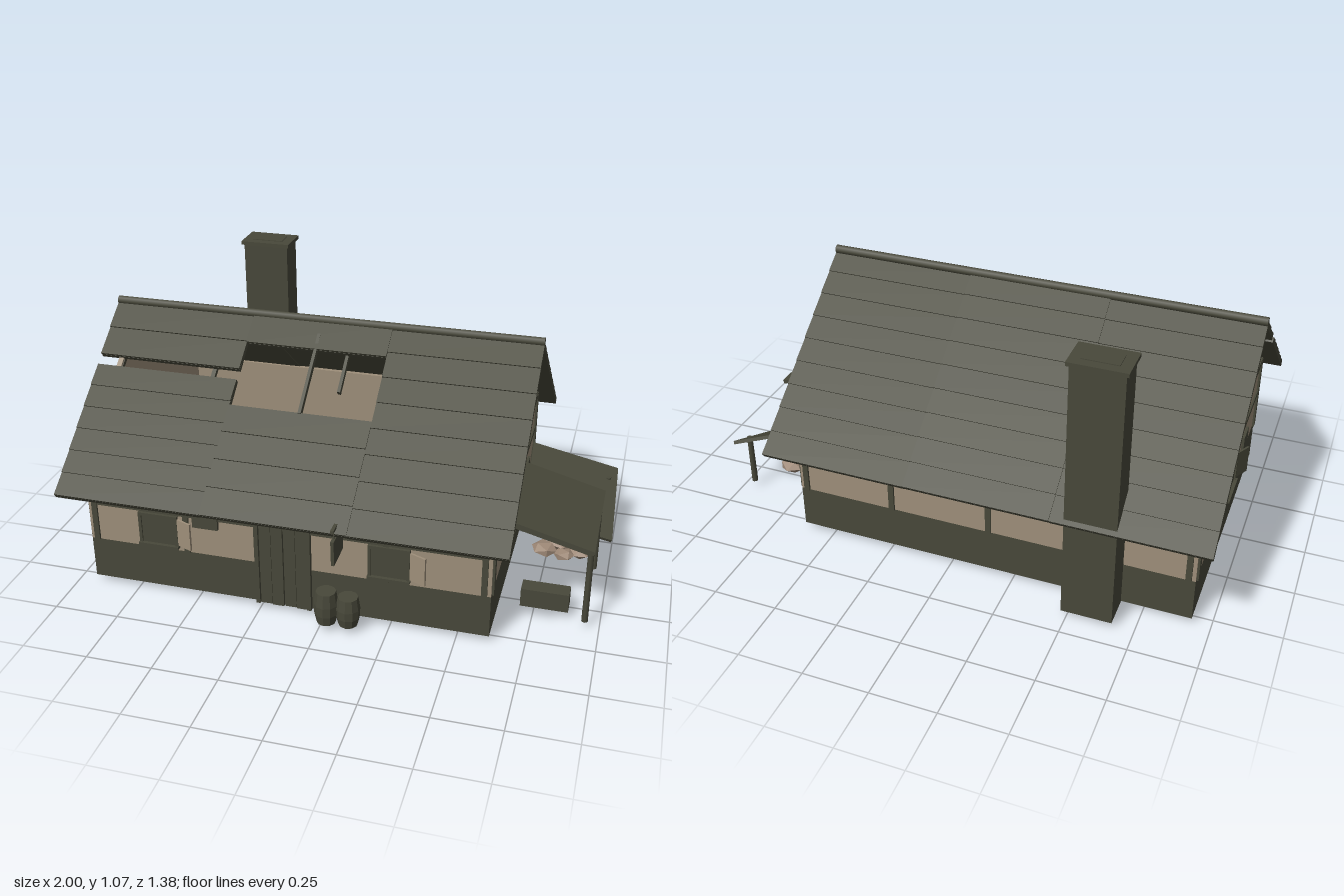
import * as THREE from 'three';

const mat = (name, color) => Object.assign(new THREE.MeshStandardMaterial({ color }), { name });

export function createModel() {
  const root = new THREE.Group();
  root.name = 'ruinedCottage';
  const timber = mat('dark olive timber', 0x48483a);
  const plaster = mat('tan plaster', 0x9e8f7a);
  const stone = mat('rubble stone', 0x9c8775);

  const add = (parent, name, geo, m, x = 0, y = 0, z = 0) => {
    const mesh = new THREE.Mesh(geo, m);
    mesh.name = name;
    mesh.position.set(x, y, z);
    parent.add(mesh);
    return mesh;
  };
  // Box given by its minimum and maximum corners
  const box = (parent, name, m, x0, x1, y0, y1, z0, z1) =>
    add(parent, name, new THREE.BoxGeometry(x1 - x0, y1 - y0, z1 - z0), m,
      (x0 + x1) / 2, (y0 + y1) / 2, (z0 + z1) / 2);
  const group = (name, x = 0, y = 0, z = 0, ry = 0, parent = root) => {
    const g = new THREE.Group();
    g.name = name;
    g.position.set(x, y, z);
    g.rotation.y = ry;
    parent.add(g);
    return g;
  };
  // Straight square beam between two points
  const beam = (parent, name, a, b, t, m = timber) => {
    const A = new THREE.Vector3(...a), B = new THREE.Vector3(...b);
    const mesh = add(parent, name, new THREE.BoxGeometry(t, t, A.distanceTo(B)), m);
    mesh.position.copy(A).add(B).multiplyScalar(0.5);
    mesh.lookAt(B);
    return mesh;
  };

  // Foundation and plaster walls
  const X0 = -0.93, X1 = 0.62, Z = 0.545;
  box(root, 'foundation', timber, X0, X1, 0.03, 0.2, -Z, Z);
  for (const s of [-1, 1]) {
    const zc = s * (Z - 0.01);
    box(root, 'longWall', plaster, X0, X1, 0.2, 0.515, zc - 0.01, zc + 0.01);
  }
  const gable = new THREE.Shape();
  gable.moveTo(-Z, 0.2).lineTo(Z, 0.2).lineTo(Z, 0.518).lineTo(0, 0.948).lineTo(-Z, 0.518);
  for (const x of [X0, X1 - 0.02]) {
    const g = new THREE.ExtrudeGeometry(gable, { depth: 0.02, bevelEnabled: false });
    g.rotateY(Math.PI / 2);
    add(root, 'gableWall', g, plaster, x);
  }

  // Timber framing
  const frame = group('timberFrame');
  for (const x of [X0, X1]) {
    for (const z of [-0.522, 0, 0.517]) box(frame, 'gablePost', timber, x - 0.008, x + 0.008, 0.2, 0.52, z - 0.015, z + 0.015);
    for (const [y0, y1] of [[0.5, 0.525], [0.36, 0.38]]) box(frame, 'gableRail', timber, x - 0.007, x + 0.007, y0, y1, -0.53, 0.53);
  }
  for (const s of [-1, 1]) {
    const xs = s < 0 ? [-0.905, -0.54, -0.155, 0.235, 0.595] : [-0.905, -0.535, 0.235, 0.595];
    for (const x of xs) box(frame, 'wallPost', timber, x - 0.011, x + 0.011, 0.2, 0.51, s * Z - 0.008, s * Z + 0.008);
    for (const [y0, y1] of [[0.355, 0.38], [0.48, 0.51]]) box(frame, 'wallRail', timber, -0.91, 0.6, y0, y1, s * Z - 0.007, s * Z + 0.007);
  }

  // Roof: sloping panels made of a slab with lapped courses
  const A = 0.669, C = Math.cos(A);
  const slope = (name, back) => {
    const g = group(name, 0, 0.962, 0);
    g.rotation.order = 'YXZ';
    g.rotation.set(A, back ? Math.PI : 0, 0);
    return g;
  };
  const panel = (g, x0, x1, z0, z1, lift = 0) => {
    const s0 = z0 / C, s1 = z1 / C;
    box(g, 'roofSlab', timber, x0, x1, -0.018 + lift, -0.002 + lift, s0, s1);
    const n = Math.max(1, Math.round((s1 - s0) / 0.1)), d = (s1 - s0) / n;
    for (let i = 0; i < n; i++) {
      const course = box(g, 'shingleCourse', timber, x0, x1, -0.003 + lift, 0.006 + lift, s0 + i * d, s0 + (i + 1) * d);
      course.rotation.x = -0.05;
    }
  };
  const front = slope('frontRoof', false), rear = slope('rearRoof', true);
  panel(front, -1, -0.43, 0, 0.19);
  panel(front, -1, -0.43, 0.225, 0.66);
  panel(front, -0.43, 0.12, 0, 0.1, 0.004);
  panel(front, -0.43, 0.12, 0.31, 0.66, 0.004);
  panel(front, 0.12, 0.69, 0, 0.66);
  panel(rear, -0.69, -0.12, 0, 0.68);
  panel(rear, -0.12, 0.43, 0, 0.68, 0.004);
  panel(rear, 0.43, 1, 0, 0.68);
  // Exposed rafters in the hole and in the gap
  box(front, 'exposedRafter', timber, -0.161, -0.149, -0.012, 0.012, 0.06, 0.4);
  box(front, 'brokenRafter', timber, -0.042, -0.03, -0.04, -0.02, 0.12, 0.28);
  for (const x of [-0.915, -0.535]) box(front, 'gapRafter', timber, x - 0.008, x + 0.008, -0.035, -0.018, 0.1, 0.4);
  const ridge = add(root, 'ridgePole', new THREE.CylinderGeometry(0.017, 0.017, 1.69, 8), timber, -0.155, 0.968, -0.003);
  ridge.rotation.z = Math.PI / 2;

  // Chimney
  const chimney = group('chimney');
  box(chimney, 'stack', timber, -0.67, -0.48, 0.03, 1.055, -0.67, -0.55);
  box(chimney, 'cap', timber, -0.68, -0.47, 1.053, 1.068, -0.68, -0.54);
  box(chimney, 'flue', timber, -0.64, -0.51, 1.066, 1.071, -0.645, -0.575);

  // Windows: local +z points out of the wall
  const windowAt = (x, y, z, ry, shutterMat, angle) => {
    const w = group('window', x, y, z, ry);
    box(w, 'pane', timber, -0.07, 0.07, -0.06, 0.06, 0, 0.008);
    for (const s of [-1, 1]) box(w, 'jamb', timber, s * 0.072 - 0.006, s * 0.072 + 0.006, -0.06, 0.065, 0, 0.014);
    box(w, 'lintel', timber, -0.078, 0.078, 0.055, 0.067, 0, 0.014);
    box(w, 'sill', timber, -0.08, 0.08, -0.07, -0.06, 0, 0.022);
    const hinge = group('shutter', 0.08, 0, 0.01, angle, w);
    box(hinge, 'shutterBoard', shutterMat, 0, 0.065, -0.055, 0.058, -0.004, 0.004);
  };
  windowAt(-0.645, 0.285, Z, 0, plaster, -0.4);
  windowAt(0.247, 0.285, Z, 0, plaster, -0.4);
  windowAt(X1, 0.285, 0.19, Math.PI / 2, timber, -0.4);
  windowAt(X0, 0.285, 0, -Math.PI / 2, timber, -0.5);

  // Board patches nailed over the walls
  box(root, 'wallPatch', timber, -0.505, -0.405, 0.32, 0.435, Z, Z + 0.014);
  for (const [x, y] of [[0.31, 0.42], [-0.35, 0.39]]) box(root, 'wallPatch', timber, x - 0.05, x + 0.05, y - 0.04, y + 0.04, -Z - 0.012, -Z);
  for (const [x, y, z] of [[X0, 0.42, 0.06], [X0, 0.27, 0.28], [X1, 0.27, -0.3]])
    box(root, 'wallPatch', timber, x - 0.01, x + 0.01, y - 0.04, y + 0.04, z - 0.045, z + 0.045);

  // Plank door
  const door = group('door');
  for (let i = 0; i < 4; i++) {
    const x = -0.245 + i * 0.047;
    box(door, 'plank', timber, x, x + 0.044, 0.03, 0.39, Z, Z + 0.01 + (i % 2) * 0.004);
  }
  for (const x of [-0.255, -0.055]) box(door, 'doorJamb', timber, x - 0.008, x + 0.008, 0.03, 0.39, Z, Z + 0.018);
  box(door, 'doorLintel', timber, -0.27, -0.04, 0.385, 0.403, Z, Z + 0.02);

  // Hanging sign on a bracket
  const sign = group('hangingSign', 0.075, 0, 0);
  box(sign, 'arm', timber, -0.006, 0.006, 0.462, 0.473, Z, 0.688);
  beam(sign, 'brace', [0, 0.465, 0.65], [0, 0.395, Z], 0.009);
  const board = box(sign, 'board', timber, -0.006, 0.006, 0.33, 0.43, 0.57, 0.685);
  board.rotation.x = 0.05;
  for (const z of [0.59, 0.665]) box(sign, 'hanger', timber, -0.002, 0.002, 0.42, 0.465, z - 0.002, z + 0.002);

  // Barrels
  const profile = [[0, 0], [0.036, 0], [0.044, 0.3], [0.045, 0.6], [0.038, 1], [0, 1]];
  for (const [x, z, h] of [[0.025, 0.605, 0.132], [0.107, 0.6, 0.118]]) {
    const g = new THREE.LatheGeometry(profile.map(([r, y]) => new THREE.Vector2(r, y * h)), 10).toNonIndexed();
    g.computeVertexNormals();
    add(root, 'barrel', g, timber, x, 0.03, z);
  }

  // Side canopy and its posts
  const canopy = group('sideCanopy');
  const lean = add(canopy, 'canopyRoof', new THREE.BoxGeometry(0.352, 0.016, 0.457), timber, 0.787, 0.382, 0.155);
  lean.rotation.z = -0.26;
  for (const z of [0.36, -0.005]) {
    add(canopy, 'canopyPost', new THREE.CylinderGeometry(0.011, 0.012, 0.31, 8), timber, 0.945, 0.185, z);
    beam(canopy, 'canopyRafter', [0.62, 0.408, z], [0.95, 0.322, z], 0.014);
  }

  // Collapsed canopy, oriented by its edge directions
  const u = new THREE.Vector3(0.35, -0.107, -0.07), v = new THREE.Vector3(-0.01, 0.152, -0.33);
  const n = new THREE.Vector3().crossVectors(v, u).normalize();
  if (n.y < 0) n.negate();
  const fallen = add(root, 'fallenCanopy', new THREE.BoxGeometry(1, 1, 1), timber);
  fallen.matrixAutoUpdate = false;
  fallen.matrix.makeBasis(u, n.clone().multiplyScalar(0.014), v.clone().negate()).setPosition(0.818, 0.229, -0.24);
  fallen.matrix.decompose(fallen.position, fallen.quaternion, fallen.scale);
  fallen.matrixAutoUpdate = true;
  add(root, 'leaningPost', new THREE.CylinderGeometry(0.011, 0.012, 0.215, 8), timber, 0.955, 0.137, -0.37);

  // Trough and rubble
  box(root, 'trough', timber, 0.7, 0.88, 0.03, 0.105, 0.26, 0.325);
  const rubble = group('rubble');
  for (const [x, y, z, r, t] of [[0.74, 0.03, -0.1, 0.055, 0.3], [0.8, 0.045, -0.15, 0.065, 1.2], [0.86, 0.03, -0.21, 0.06, 2.1],
    [0.78, 0.026, -0.21, 0.05, 0.8], [0.88, 0.025, -0.12, 0.05, 1.7], [0.82, 0.024, -0.085, 0.045, 2.6]]) {
    const rock = add(rubble, 'rock', new THREE.IcosahedronGeometry(r, 0), stone, x, y, z);
    rock.scale.y = 0.5;
    rock.rotation.y = t;
  }

  // Table left inside, seen through the broken roof
  const table = group('table');
  box(table, 'tableTop', plaster, -0.39, -0.15, 0.29, 0.305, 0.145, 0.25);
  for (const x of [-0.375, -0.165]) for (const z of [0.157, 0.238]) box(table, 'leg', timber, x - 0.008, x + 0.008, 0.2, 0.29, z - 0.008, z + 0.008);
  for (const [x, z] of [[-0.36, 0.225], [-0.33, 0.225], [-0.29, 0.185]])
    add(table, 'cup', new THREE.CylinderGeometry(0.011, 0.011, 0.03, 8), timber, x, 0.32, z);

  return root;
}
